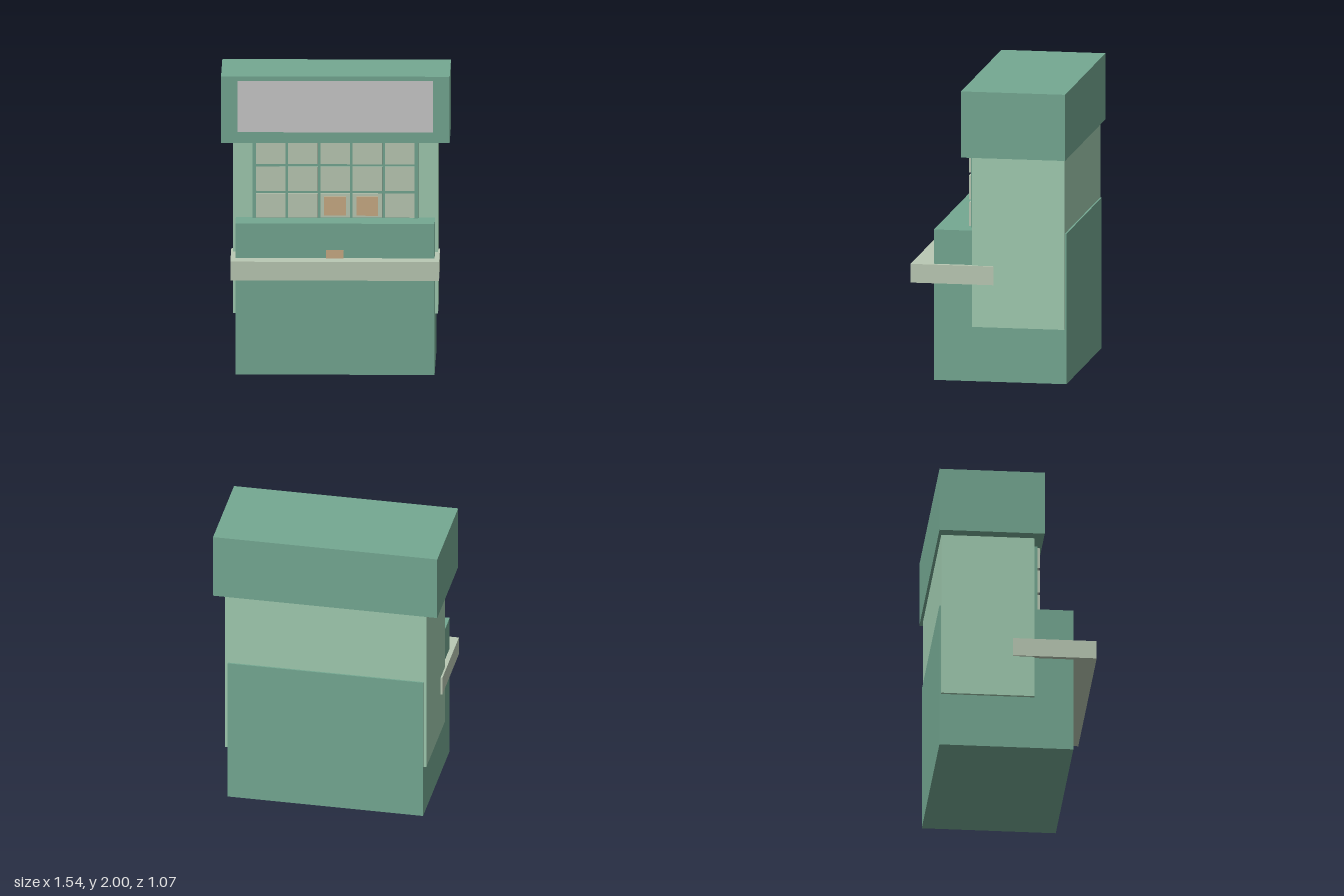
import * as THREE from 'three';

const material = (name, color) => {
  const m = new THREE.MeshStandardMaterial({ color });
  m.name = name;
  return m;
};

export function createModel() {
  const green = material('green', 0x74a892);
  const lightGreen = material('light green', 0xa0cbb0);
  const cream = material('cream', 0xbac9b4);
  const tan = material('tan', 0xcaab85);
  const grey = material('grey', 0xc9c9c9);

  const model = new THREE.Group();
  model.name = 'kiosk';

  // Box given by its extents on each axis
  const box = (name, mat, [x0, x1], [y0, y1], [z0, z1], parent = model) => {
    const mesh = new THREE.Mesh(new THREE.BoxGeometry(x1 - x0, y1 - y0, z1 - z0), mat);
    mesh.position.set((x0 + x1) / 2, (y0 + y1) / 2, (z0 + z1) / 2);
    mesh.name = name;
    parent.add(mesh);
  };

  // Main volumes
  box('base', green, [-0.672, 0.669], [0, 1.03], [-0.526, 0.379]);
  box('body', lightGreen, [-0.692, 0.689], [0.375, 1.56], [-0.515, 0.115]);
  box('counter', cream, [-0.704, 0.701], [0.667, 0.795], [-0.032, 0.534]);
  box('roof', green, [-0.771, 0.768], [1.547, 2], [-0.534, 0.177]);
  box('signPanel', grey, [-0.66, 0.655], [1.62, 1.97], [0.174, 0.18]);

  // Window backing with a grid of raised panes
  const windowGroup = new THREE.Group();
  windowGroup.name = 'window';
  model.add(windowGroup);
  box('windowFrame', green, [-0.56, 0.556], [1.0, 1.6], [0.11, 0.148], windowGroup);
  for (let row = 0; row < 3; row++) {
    for (let col = 0; col < 5; col++) {
      const x = -0.537 + col * 0.217;
      const y = 1.036 + row * 0.182;
      box('windowPane', cream, [x, x + 0.2], [y, y + 0.164], [0.14, 0.164], windowGroup);
    }
  }

  // Notices on the window and a small plate above the counter
  for (const x of [-0.077, 0.14]) box('notice', tan, [x, x + 0.147], [1.053, 1.181], [0.16, 0.188]);
  box('counterPlate', tan, [-0.061, 0.057], [0.76, 0.85], [0.375, 0.385]);

  return model;
}
